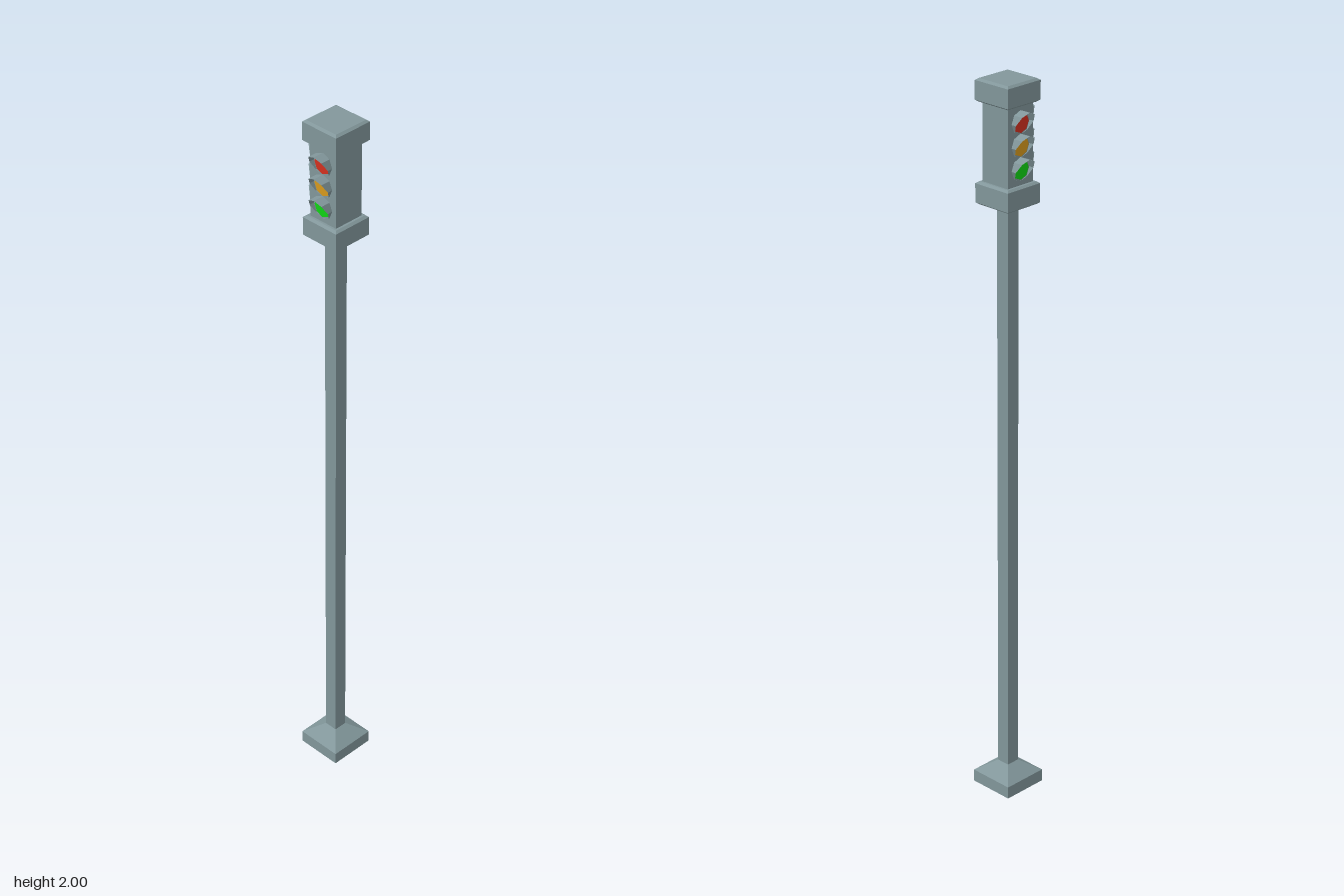
import * as THREE from 'three';

const mat = (name, color) => new THREE.MeshStandardMaterial({ name, color, flatShading: true, side: THREE.DoubleSide });

// Square part from [halfWidth, y] steps, listed bottom to top
function squareProfile(name, steps, material) {
  const points = steps.map(([h, y]) => new THREE.Vector2(h * Math.SQRT2, y));
  const mesh = new THREE.Mesh(new THREE.LatheGeometry(points, 4).rotateY(Math.PI / 4).toNonIndexed(), material);
  mesh.geometry.computeVertexNormals();
  mesh.name = name;
  return mesh;
}

// Eight-sided open hood, deepest at the top and running out to nothing below
function hoodGeometry(radius) {
  const depths = [0.032, 0.028, 0.015, 0.003, 0.001];
  const geo = new THREE.CylinderGeometry(radius, radius, 1, 8, 1, true).rotateX(Math.PI / 2);
  const p = geo.attributes.position;
  for (let i = 0; i < p.count; i++) {
    const angle = Math.abs(Math.atan2(p.getX(i), p.getY(i)));
    p.setZ(i, p.getZ(i) > 0 ? depths[Math.round(angle / (Math.PI / 4))] : 0);
  }
  const flat = geo.toNonIndexed();
  flat.computeVertexNormals();
  return flat;
}

export function createModel() {
  const model = new THREE.Group();
  model.name = 'trafficLight';
  const metal = mat('greyMetal', 0x82979b);
  const lamps = [
    ['red', 1.897, mat('redLens', 0xd3301f)],
    ['amber', 1.837, mat('amberLens', 0xd79a1c)],
    ['green', 1.777, mat('greenLens', 0x0fd414)],
  ];

  const body = new THREE.Group();
  body.name = 'postAndHousing';
  body.position.set(0.004, 0, -0.006);
  model.add(body);

  // Hollow foot, post and lamp housing
  body.add(
    squareProfile('foot', [[0.066, 0], [0.066, 0.035], [0.019, 0.067]], metal),
    squareProfile('post', [[0.019, 0.065], [0.019, 1.68]], metal),
    squareProfile('lowerCollar', [[0, 1.675], [0.05, 1.675], [0.057, 1.68], [0.057, 1.73], [0.05, 1.735], [0, 1.735]], metal),
    squareProfile('housing', [[0.044, 1.735], [0.044, 1.94]], metal),
    squareProfile('cap', [[0, 1.94], [0.05, 1.94], [0.057, 1.945], [0.057, 1.995], [0.05, 2], [0, 2]], metal),
  );

  // Lamps on the front and on the right side
  const hood = hoodGeometry(0.031);
  const lens = new THREE.CylinderGeometry(0.027, 0.027, 0.003, 8).rotateX(Math.PI / 2);
  for (const [side, turn] of [['front', 0], ['right', -Math.PI / 2]]) {
    const panel = new THREE.Group();
    panel.name = side + 'Lamps';
    panel.rotation.y = turn;
    for (const [colour, y, material] of lamps) {
      const lensMesh = new THREE.Mesh(lens, material);
      lensMesh.name = colour + 'Lens';
      lensMesh.position.set(0, y, 0.0445);
      const hoodMesh = new THREE.Mesh(hood, metal);
      hoodMesh.name = colour + 'Hood';
      hoodMesh.position.set(0, y, 0.0435);
      panel.add(lensMesh, hoodMesh);
    }
    body.add(panel);
  }
  return model;
}
